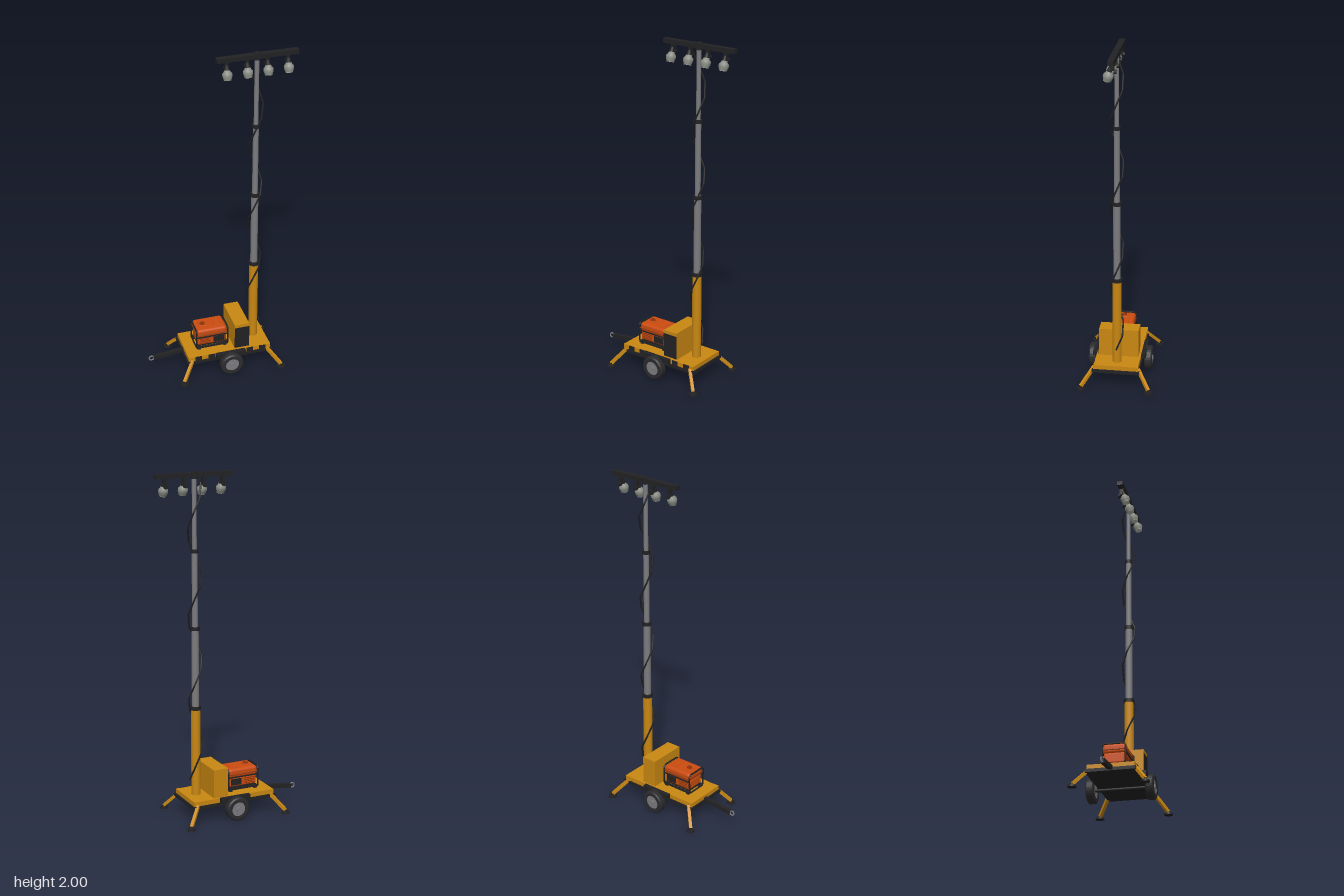
import * as THREE from 'three';
import { RoundedBoxGeometry } from 'three/addons/geometries/RoundedBoxGeometry.js';

function paint(name, color, side = THREE.FrontSide) {
  const m = new THREE.MeshStandardMaterial({ color, side });
  m.name = name;
  return m;
}

export function createModel() {
  const yellow = paint('safetyYellow', 0xc98712);
  const black = paint('black', 0x222224);
  const rubber = paint('rubber', 0x2b2b2d);
  const steel = paint('steel', 0x7c7c80);
  const lampGrey = paint('lampGrey', 0x8b8e86, THREE.DoubleSide);
  const lensGlass = paint('lens', 0xb4b6a8);
  const orange = paint('orange', 0xcb4c10);
  const darkOrange = paint('darkOrange', 0x8e340c);

  const root = new THREE.Group();
  root.name = 'lightTower';
  const V = (x, y, z) => new THREE.Vector3(x, y, z);

  function add(parent, name, geo, mat, x = 0, y = 0, z = 0) {
    const m = new THREE.Mesh(geo, mat);
    m.name = name;
    m.position.set(x, y, z);
    parent.add(m);
    return m;
  }
  // box given by its lower and upper corners
  function box(parent, name, mat, a, b) {
    const g = new THREE.BoxGeometry(b[0] - a[0], b[1] - a[1], b[2] - a[2]);
    return add(parent, name, g, mat, (a[0] + b[0]) / 2, (a[1] + b[1]) / 2, (a[2] + b[2]) / 2);
  }
  function group(name, parent = root) {
    const g = new THREE.Group();
    g.name = name;
    parent.add(g);
    return g;
  }
  // square bar between two points
  function bar(parent, name, mat, p, q, w, h) {
    const m = add(parent, name, new THREE.BoxGeometry(w, h, p.distanceTo(q)), mat);
    m.position.copy(p).add(q).multiplyScalar(0.5);
    m.lookAt(q);
    return m;
  }
  // bent pipe through straight runs
  function pipe(parent, name, mat, pts, r, closed = false, sides = 6) {
    const path = new THREE.CurvePath();
    for (let i = 0; i < pts.length - 1; i++) path.add(new THREE.LineCurve3(pts[i], pts[i + 1]));
    if (closed) path.add(new THREE.LineCurve3(pts[pts.length - 1], pts[0]));
    return add(parent, name, new THREE.TubeGeometry(path, pts.length * 8, r, sides, closed), mat);
  }

  // Trailer deck
  const trailer = group('trailer');
  box(trailer, 'chassisFrame', black, [-0.24, 0.09, -0.138], [0.29, 0.108, 0.138]);
  box(trailer, 'deck', yellow, [-0.23, 0.108, -0.13], [0.28, 0.134, 0.13]);
  for (const x of [-0.19, -0.11, 0.13, 0.21])
    box(trailer, 'warningStripe', black, [x, 0.108, 0.128], [x + 0.04, 0.134, 0.133]);

  // Drawbar and towing eye
  bar(trailer, 'drawbar', black, V(-0.23, 0.107, 0), V(-0.415, 0.086, 0), 0.024, 0.024);
  add(trailer, 'towingEye', new THREE.TorusGeometry(0.014, 0.004, 8, 20), steel, -0.428, 0.085, 0);

  // Wheels with fenders, and the axle
  const axle = add(trailer, 'axle', new THREE.CylinderGeometry(0.009, 0.009, 0.3, 10), black, 0.025, 0.07, 0);
  axle.rotation.x = Math.PI / 2;
  const tyre = [[0.042, -0.023], [0.062, -0.023], [0.07, -0.016], [0.07, 0.016], [0.062, 0.023], [0.042, 0.023], [0.042, 0.014]]
    .map(p => new THREE.Vector2(...p));
  for (const s of [1, -1]) {
    const wheel = group('wheel', trailer);
    wheel.position.set(0.025, 0.07, s * 0.165);
    wheel.rotation.x = s * Math.PI / 2;
    const t = add(wheel, 'tyre', new THREE.LatheGeometry(tyre, 28), rubber);
    t.geometry = t.geometry.toNonIndexed();
    t.geometry.computeVertexNormals();
    add(wheel, 'rim', new THREE.CylinderGeometry(0.043, 0.043, 0.036, 28), steel);
    add(wheel, 'hub', new THREE.CylinderGeometry(0.012, 0.014, 0.006, 12), steel, 0, 0.02, 0);
    box(trailer, 'fender', black, [-0.065, 0.108, s > 0 ? 0.13 : -0.156], [0.118, 0.138, s > 0 ? 0.156 : -0.13]);
  }

  // Outriggers at the four corners
  for (const [x0, x1] of [[-0.205, -0.276], [0.255, 0.329]])
    for (const s of [1, -1]) {
      const o = group('outrigger', trailer);
      bar(o, 'leg', yellow, V(x0, 0.112, s * 0.128), V(x1, 0.018, s * 0.196), 0.018, 0.018);
      add(o, 'footPad', new THREE.CylinderGeometry(0.024, 0.025, 0.009, 20), black, x1, 0.0045, s * 0.197);
      add(o, 'footJoint', new THREE.CylinderGeometry(0.009, 0.012, 0.014, 10), black, x1, 0.015, s * 0.197);
    }

  // Control cabinet with a dark door at the front
  const cabinet = group('controlCabinet');
  box(cabinet, 'cabinetBody', yellow, [0.06, 0.134, -0.117], [0.15, 0.303, 0.115]);
  box(cabinet, 'cabinetDoor', black, [0.06, 0.14, 0.114], [0.15, 0.282, 0.118]);

  // Generator: pipe cradle, engine, housing and tank
  const gen = group('generator');
  for (const x of [-0.161, 0.031]) {
    pipe(gen, 'endHoop', black, [
      V(x, 0.145, -0.062), V(x, 0.255, -0.066), V(x, 0.268, -0.054),
      V(x, 0.268, 0.054), V(x, 0.255, 0.066), V(x, 0.145, 0.062)], 0.005, true);
  }
  for (const s of [1, -1]) {
    bar(gen, 'baseRail', black, V(-0.161, 0.148, s * 0.062), V(0.031, 0.148, s * 0.062), 0.01, 0.01);
    bar(gen, 'topRail', black, V(-0.161, 0.22, s * 0.066), V(0.031, 0.22, s * 0.066), 0.006, 0.006);
    for (const x of [-0.145, 0.015])
      box(gen, 'rubberFoot', rubber, [x - 0.01, 0.133, s * 0.055 - 0.01], [x + 0.01, 0.15, s * 0.055 + 0.01]);
  }
  box(gen, 'engineBlock', black, [-0.15, 0.15, -0.052], [0.02, 0.185, 0.052]);
  add(gen, 'housing', new RoundedBoxGeometry(0.178, 0.06, 0.116, 2, 0.01), orange, -0.065, 0.19, 0);
  add(gen, 'fuelTank', new RoundedBoxGeometry(0.184, 0.054, 0.13, 3, 0.016), orange, -0.065, 0.243, 0);
  add(gen, 'tankSeam', new RoundedBoxGeometry(0.19, 0.006, 0.136, 2, 0.003), darkOrange, -0.065, 0.236, 0);
  add(gen, 'capSeat', new RoundedBoxGeometry(0.045, 0.008, 0.045, 2, 0.003), orange, -0.11, 0.27, 0);
  add(gen, 'fuelCap', new THREE.CylinderGeometry(0.014, 0.016, 0.01, 16), darkOrange, -0.11, 0.276, 0);
  add(gen, 'tankPanel', new RoundedBoxGeometry(0.045, 0.006, 0.075, 2, 0.002), orange, -0.02, 0.27, 0);
  for (const s of [1, -1]) {
    box(gen, 'sidePanel', black, [-0.055, 0.17, s * 0.0585 - 0.002], [0.012, 0.208, s * 0.0585 + 0.002]);
    for (let i = 0; i < 4; i++)
      box(gen, 'louver', darkOrange, [-0.14, 0.172 + i * 0.01, s * 0.0585 - 0.002], [-0.075, 0.176 + i * 0.01, s * 0.0585 + 0.002]);
  }

  // Telescopic mast: bottom, top, radius, collar radius
  const mast = group('mast');
  const mx = 0.21;
  const stages = [[0.13, 0.655, 0.027, 0.031, yellow], [0.64, 1.12, 0.021, 0.027, steel],
    [1.1, 1.56, 0.0165, 0.022, steel], [1.54, 1.98, 0.013, 0.018, steel]];
  for (const [y0, y1, r, rc, mat] of stages) {
    add(mast, 'mastTube', new THREE.CylinderGeometry(r, r, y1 - y0, 16), mat, mx, (y0 + y1) / 2, 0);
    const h = y1 > 1.9 ? 0.04 : 0.02;
    add(mast, 'mastCollar', new THREE.CylinderGeometry(rc, rc, h, 16), black, mx, y1, 0);
  }

  // Power cable winding round the mast
  const coil = [];
  for (let i = 0; i <= 21; i++) {
    const y = 1.94 - i * 0.49 / 6;
    const a = (y - 1.695) / 0.49 * Math.PI * 2;
    coil.push(V(mx + 0.04 * Math.cos(a), y, -0.039 * Math.sin(a)));
  }
  pipe(mast, 'cable', black, coil, 0.005);

  // Crossbar with four floodlights
  const head = group('lightHead');
  box(head, 'crossbar', black, [-0.02, 1.97, -0.017], [0.444, 1.995, 0.017]);
  const bell = [[0.008, 0], [0.015, -0.004], [0.019, -0.014], [0.027, -0.022], [0.028, -0.036], [0.023, -0.05], [0.021, -0.058]]
    .map(p => new THREE.Vector2(...p)).reverse();
  for (const x of [0.037, 0.153, 0.269, 0.386]) {
    const lamp = group('floodlight', head);
    lamp.position.set(x, 1.93, 0.012);
    lamp.rotation.x = -0.25;
    add(lamp, 'lampShell', new THREE.LatheGeometry(bell, 20), lampGrey);
    add(lamp, 'lens', new THREE.CylinderGeometry(0.021, 0.021, 0.004, 20), lensGlass, 0, -0.057, 0);
    add(lamp, 'lampNeck', new THREE.CylinderGeometry(0.008, 0.016, 0.03, 10), black, 0, 0.008, 0);
    box(head, 'lampBracket', black, [x - 0.009, 1.93, -0.012], [x + 0.009, 1.972, 0.01]);
    const knob = add(head, 'bracketKnob', new THREE.CylinderGeometry(0.012, 0.012, 0.014, 10), black, x, 1.925, -0.016);
    knob.rotation.x = Math.PI / 2;
  }
  return root;
}
